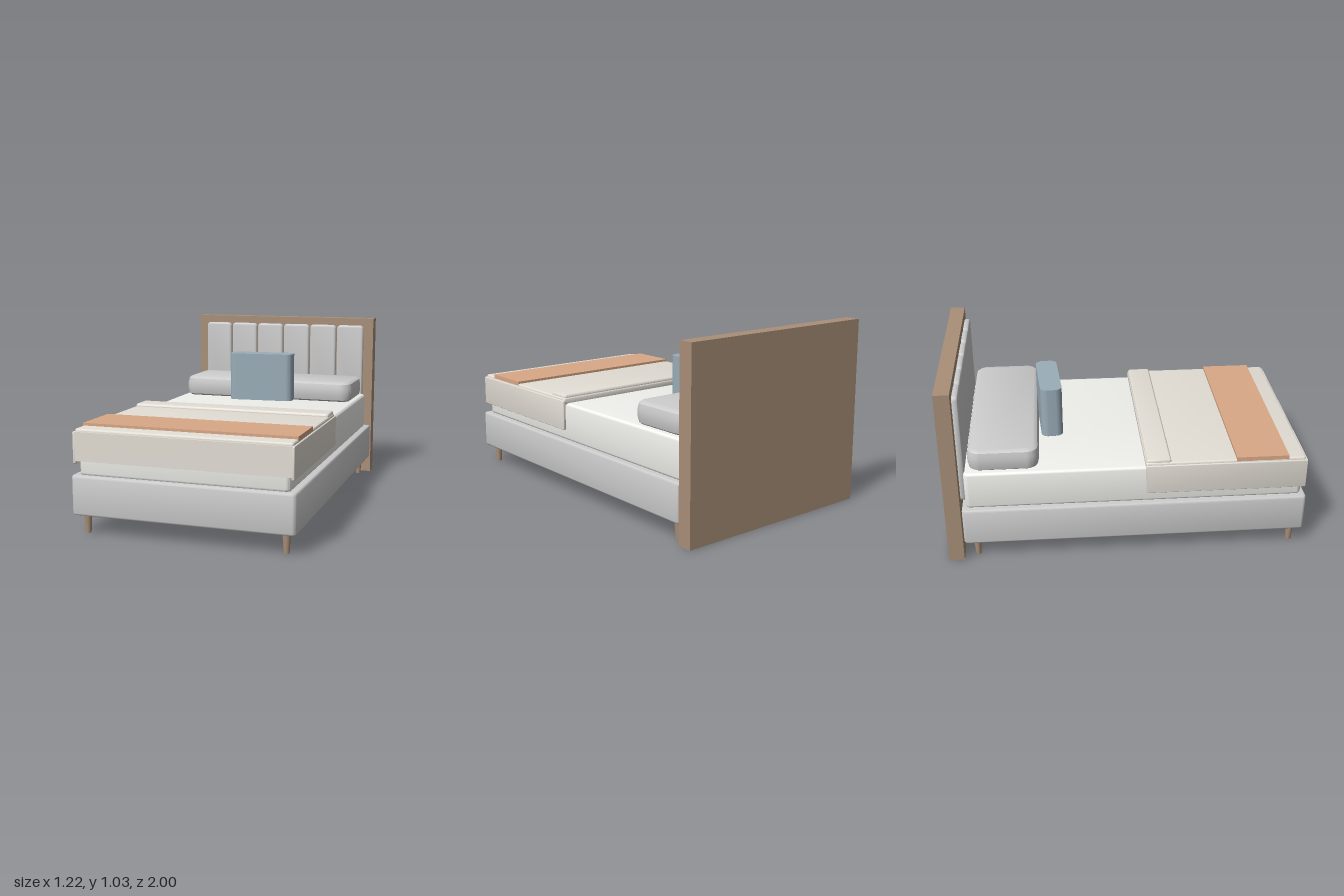
import * as THREE from 'three';
import { toCreasedNormals } from 'three/addons/utils/BufferGeometryUtils.js';

const paint = (color) => new THREE.MeshStandardMaterial({ color });
const grey = paint(0xcccccc);
const wood = paint(0xa98f78);
const linen = paint(0xe3ded5);
const sheet = paint(0xf0f0ec);
const terracotta = paint(0xd9a886);
const blue = paint(0x9aadb8);

// Rounded rectangle with outer size w x h
function roundedRect(w, h, r) {
  const x = w / 2, y = h / 2, s = new THREE.Shape();
  s.moveTo(-x + r, -y);
  s.lineTo(x - r, -y).absarc(x - r, -y + r, r, -Math.PI / 2, 0);
  s.lineTo(x, y - r).absarc(x - r, y - r, r, 0, Math.PI / 2);
  s.lineTo(-x + r, y).absarc(-x + r, y - r, r, Math.PI / 2, Math.PI);
  s.lineTo(-x, -y + r).absarc(-x + r, -y + r, r, Math.PI, Math.PI * 1.5);
  return s;
}

// Padded block, w x h outline, t thick along z from z = 0, edges eased by bevel
function padded(w, h, t, r, bevel, bevelH = bevel, segments = 3) {
  const geo = new THREE.ExtrudeGeometry(
    roundedRect(w - 2 * bevel, h - 2 * bevel, Math.max(r - bevel, 0.004)),
    {
      depth: t - 2 * bevelH, bevelEnabled: bevel > 0, bevelSize: bevel,
      bevelThickness: bevelH, bevelSegments: segments, curveSegments: 6,
    });
  geo.translate(0, 0, bevel > 0 ? bevelH : 0);
  return toCreasedNormals(geo, 0.65);
}

export function createModel() {
  const bed = new THREE.Group();
  bed.name = 'bed';

  const add = (name, geo, mat, x = 0, y = 0, z = 0) => {
    const mesh = new THREE.Mesh(geo, mat);
    mesh.name = name;
    mesh.position.set(x, y, z);
    bed.add(mesh);
    return mesh;
  };
  // Box given by its limits
  const box = (name, mat, x0, x1, y0, y1, z0, z1) =>
    add(name, new THREE.BoxGeometry(x1 - x0, y1 - y0, z1 - z0), mat,
      (x0 + x1) / 2, (y0 + y1) / 2, (z0 + z1) / 2);
  // Padded block lying flat, given by its limits
  const slab = (name, mat, halfW, y0, y1, z0, z1, r, ...bevel) =>
    add(name, padded(halfW * 2, z1 - z0, y1 - y0, r, ...bevel).rotateX(-Math.PI / 2),
      mat, 0, y0, (z0 + z1) / 2);

  // Headboard with six upholstered channels
  box('headboard', wood, -0.61, 0.61, 0, 1.03, -1, -0.915);
  const panels = 6, pitch = 0.184;
  for (let i = 0; i < panels; i++) {
    add('headboardPanel', padded(0.177, 0.635, 0.035, 0.024, 0.012), grey,
      (i - (panels - 1) / 2) * pitch, 0.667, -0.917);
  }

  // Upholstered base and mattress
  slab('base', grey, 0.608, 0.105, 0.32, -0.91, 1, 0.025, 0.012);
  slab('mattress', sheet, 0.572, 0.315, 0.533, -0.89, 0.975, 0.03, 0.016);

  // Tapered legs
  for (const x of [-0.545, 0.545]) {
    for (const z of [-0.84, 0.935]) {
      add('leg', new THREE.CylinderGeometry(0.022, 0.015, 0.11, 16), wood, x, 0.055, z);
    }
  }

  // Blanket: top, hanging sides and foot, turned-back fold
  slab('blanketTop', linen, 0.587, 0.525, 0.565, 0.1, 0.98, 0.012, 0.008);
  for (const side of [-1, 1]) {
    const drop = padded(0.89, 0.17, 0.016, 0.006, 0.003).rotateY(Math.PI / 2);
    add('blanketSide', drop, linen, side * 0.588 - 0.008, 0.465, 0.545);
  }
  box('blanketFoot', linen, -0.587, 0.587, 0.395, 0.55, 0.975, 0.99);
  slab('blanketFold', linen, 0.583, 0.55, 0.581, 0.104, 0.238, 0.015, 0.01);

  // Throw across the foot of the bed
  box('throw', terracotta, -0.587, 0.587, 0.555, 0.579, 0.597, 0.885);

  // Long pillow and upright cushion
  slab('pillow', grey, 0.553, 0.53, 0.655, -0.865, -0.477, 0.07, 0.025, 0.042, 2);
  const cushion = slab('cushion', blue, 0.2, 0.542, 0.834, -0.473, -0.35, 0.04, 0);
  cushion.rotation.y = 0.07;

  return bed;
}
